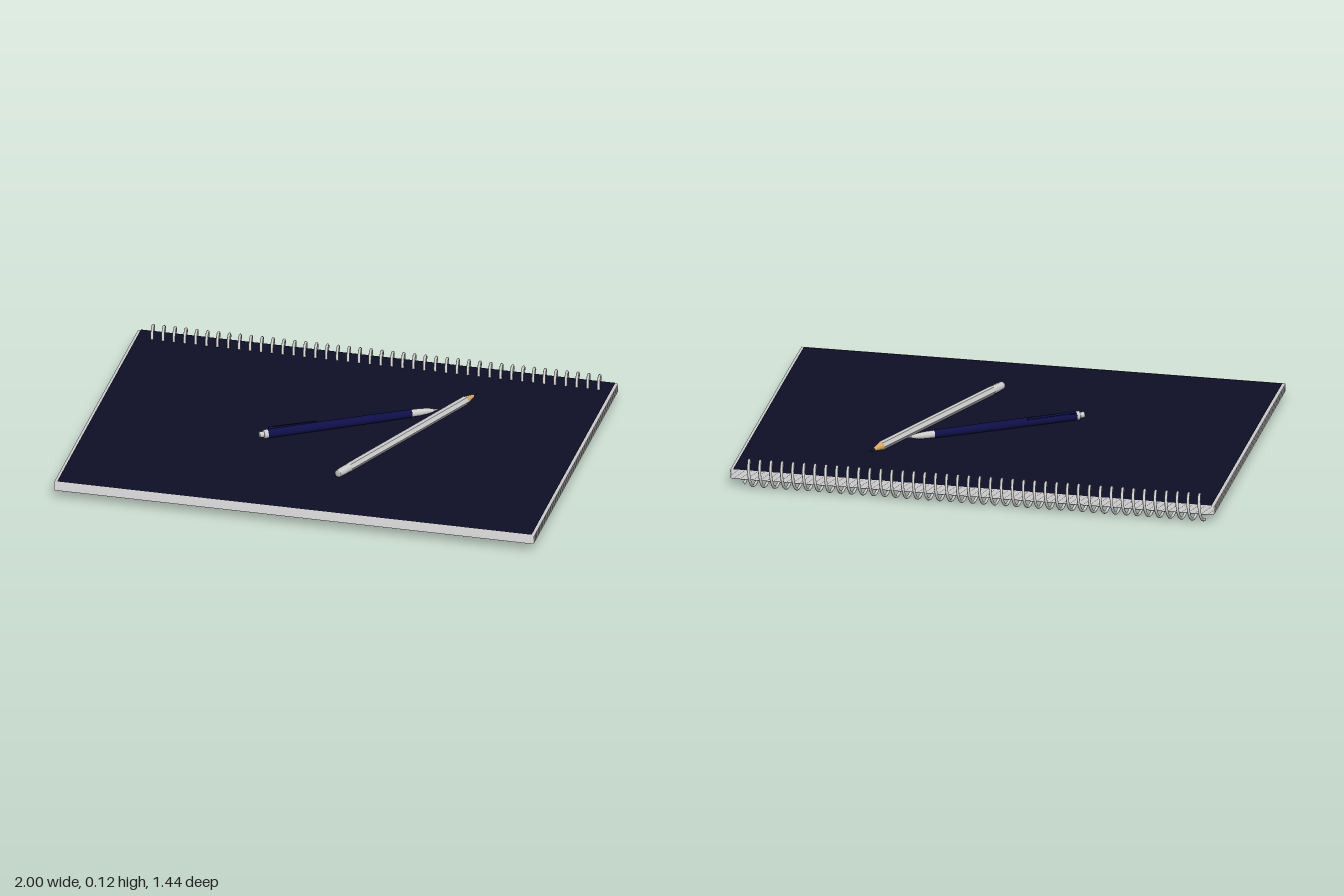
import * as THREE from 'three';

const mat = (color, extra = {}) => new THREE.MeshStandardMaterial({ color, ...extra });

function add(parent, name, geometry, material) {
  const mesh = new THREE.Mesh(geometry, material);
  mesh.name = name;
  parent.add(mesh);
  return mesh;
}

// Thin sheet lying flat, with its front edge drooping very slightly
function sheetGeometry(halfWidth, back, front, y, droop) {
  const g = new THREE.PlaneGeometry(halfWidth * 2, front - back, 1, 12);
  g.rotateX(-Math.PI / 2);
  g.translate(0, y, (front + back) / 2);
  const p = g.attributes.position;
  for (let i = 0; i < p.count; i++) {
    const t = (p.getZ(i) - back) / (front - back);
    p.setY(i, p.getY(i) - droop * t ** 8);
  }
  g.computeVertexNormals();
  return g;
}

// Turned piece along +y from [radius, height] pairs
function turned(points, sides) {
  return new THREE.LatheGeometry(points.map(([r, y]) => new THREE.Vector2(r, y)), sides);
}

// Lays a tool built along +y down on the pad, from its end towards its tip
function layDown(tool, from, to) {
  const dir = new THREE.Vector3().subVectors(to, from).normalize();
  const up = new THREE.Vector3(0, 1, 0);
  const side = new THREE.Vector3().crossVectors(dir, up);
  tool.quaternion.setFromRotationMatrix(new THREE.Matrix4().makeBasis(side, dir, up));
  tool.position.copy(from);
}

// Wire binding: one continuous helix
class Helix extends THREE.Curve {
  getPoint(t, target = new THREE.Vector3()) {
    const turns = 42, a = -Math.PI / 2 + t * turns * Math.PI * 2;
    return target.set(-0.955 + t * 1.905, 0.0575 + 0.0515 * Math.sin(a), -0.665 - 0.0515 * Math.cos(a));
  }
}

function createNotebook() {
  const book = new THREE.Group();
  book.name = 'notebook';
  const cover = mat(0x0e0e26, { side: THREE.DoubleSide });
  const paper = mat(0xcccccc, { side: THREE.DoubleSide });
  add(book, 'frontCover', sheetGeometry(0.988, -0.69, 0.708, 0.077, 0.003), cover);
  add(book, 'backCover', sheetGeometry(0.995, -0.69, 0.715, 0.036, 0), cover);
  const pages = new THREE.Group();
  pages.name = 'pages';
  book.add(pages);
  const count = 16;
  for (let i = 0; i < count; i++) {
    const t = i / (count - 1);
    const wide = i % 2 ? 1 : 0.997;
    add(pages, 'page', sheetGeometry(wide, -0.69, 0.718, 0.038 + 0.036 * t, 0.003 * t), paper);
  }
  add(book, 'spiralBinding', new THREE.TubeGeometry(new Helix(), 42 * 24, 0.006, 8), mat(0xcccccc));
  return book;
}

function createPencil() {
  const pencil = new THREE.Group();
  pencil.name = 'pencil';
  const grey = mat(0xcccccc, { flatShading: true });
  add(pencil, 'eraser', turned([[0, 0], [0.014, 0], [0.016, 0.004], [0.016, 0.026]], 20), mat(0xcccccc));
  // Crimped metal sleeve
  const ring = [[0.0165, 0.024]];
  for (let i = 0; i < 4; i++) {
    const y = 0.028 + i * 0.011;
    ring.push([0.0175, y], [0.0175, y + 0.004], [0.0162, y + 0.0065]);
  }
  ring.push([0.0172, 0.074], [0.016, 0.075]);
  add(pencil, 'ferrule', turned(ring, 20), mat(0xcccccc));
  const body = new THREE.CylinderGeometry(0.0185, 0.0185, 0.765, 6);
  body.translate(0, 0.0725 + 0.3825, 0);
  body.rotateY(Math.PI / 6);
  add(pencil, 'body', body, grey);
  add(pencil, 'sharpenedWood', turned([[0.0175, 0.836], [0.007, 0.886]], 20), mat(0xd9a866));
  add(pencil, 'lead', turned([[0.007, 0.886], [0.0012, 0.914], [0, 0.915]], 16), mat(0x1c1c1c));
  layDown(pencil, new THREE.Vector3(0.105, 0.0945, 0.407), new THREE.Vector3(0.478, 0.0945, -0.428));
  return pencil;
}

function createPen() {
  const pen = new THREE.Group();
  pen.name = 'pen';
  const grey = mat(0xcccccc), navy = mat(0x0f0f48);
  add(pen, 'clicker', turned([[0, 0], [0.011, 0], [0.0125, 0.003], [0.0125, 0.026]], 20), grey);
  add(pen, 'endCap', turned([[0.0125, 0.02], [0.0175, 0.021], [0.0185, 0.024], [0.0185, 0.036]], 20), grey);
  add(pen, 'barrel', turned([[0.0175, 0.036], [0.0185, 0.04], [0.0185, 0.36], [0.018, 0.5], [0.0165, 0.645], [0, 0.645]], 24), navy);
  add(pen, 'grip', turned([[0.0155, 0.645], [0.015, 0.68], [0.0125, 0.71], [0.008, 0.735], [0.0045, 0.74], [0.003, 0.757], [0, 0.758]], 20), grey);
  // Pocket clip: a slim tapered bar held off the barrel, turned towards the upper back
  const clip = new THREE.Group();
  clip.name = 'clip';
  const shape = new THREE.Shape();
  shape.moveTo(0.016, 0.045);
  shape.lineTo(0.027, 0.045);
  shape.lineTo(0.0275, 0.06);
  shape.lineTo(0.024, 0.245);
  shape.lineTo(0.0185, 0.25);
  shape.lineTo(0.0215, 0.235);
  shape.lineTo(0.0245, 0.064);
  shape.lineTo(0.016, 0.062);
  const bar = new THREE.ExtrudeGeometry(shape, { depth: 0.009, bevelEnabled: false });
  bar.translate(0, 0, -0.0045);
  add(clip, 'clipBar', bar, navy);
  clip.rotation.y = Math.PI + Math.PI * 0.3;
  pen.add(clip);
  layDown(pen, new THREE.Vector3(-0.287, 0.0965, 0.148), new THREE.Vector3(0.36, 0.0965, -0.247));
  return pen;
}

export function createModel() {
  const model = new THREE.Group();
  model.name = 'notebookWithPenAndPencil';
  model.add(createNotebook(), createPencil(), createPen());
  return model;
}
